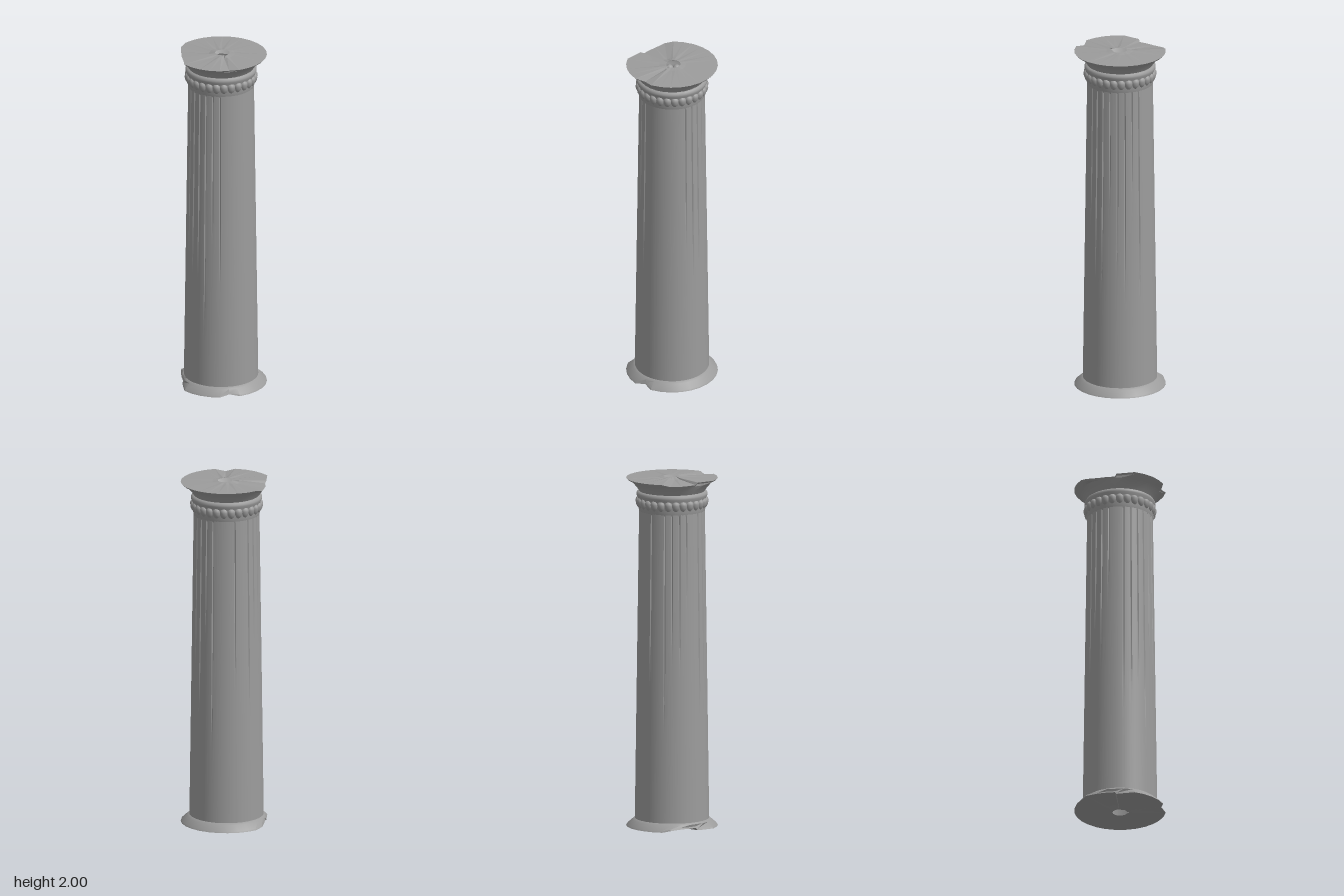
import * as THREE from 'three';
import { toCreasedNormals } from 'three/addons/utils/BufferGeometryUtils.js';

const SIDES = 28;
const material = new THREE.MeshStandardMaterial({ color: 0x9c9c9c, side: THREE.DoubleSide });

// Skin a stack of rings; each ring maps a side index to [radius, y, xOffset, turn in sides]
function skin(name, rings, sides = SIDES, crease = 0.5) {
  const pos = [], idx = [];
  for (const ring of rings) {
    for (let i = 0; i < sides; i++) {
      const [r, y, dx = 0, turn = 0] = ring(i);
      const a = ((i + turn) / sides) * Math.PI * 2;
      pos.push(r * Math.cos(a) + dx, y, r * Math.sin(a));
    }
  }
  for (let j = 0; j < rings.length - 1; j++) {
    for (let i = 0; i < sides; i++) {
      const k = (i + 1) % sides;
      const a = j * sides + i, b = j * sides + k;
      idx.push(a, a + sides, b, b, a + sides, b + sides);
    }
  }
  const geo = new THREE.BufferGeometry();
  geo.setAttribute('position', new THREE.Float32BufferAttribute(pos, 3));
  geo.setIndex(idx);
  const mesh = new THREE.Mesh(toCreasedNormals(geo, crease), material);
  mesh.name = name;
  return mesh;
}

// Fixed pseudo-random value per index
const hash = (n) => {
  const s = Math.sin(n * 12.9898 + 4.1) * 43758.5453;
  return s - Math.floor(s);
};

// Chipped rim: reduced radius on a few sides, with a sunken sector between two cracks
const chips = { 8: 0.233, 14: 0.224, 15: 0.217, 16: 0.222, 17: 0.232 };
const rimTurn = { 14: 0.85, 15: 0.05, 18: 0.15 };
const rimSink = { 8: 0.008, 15: 0.014, 16: 0.014, 17: 0.014, 18: 0.01 };
const rimRadius = (i) => chips[i] ?? 0.258;
const round = (r, y) => () => [r, y];
const chipped = (r, y) => (i) => [Math.min(r, rimRadius(i)), y];
// inward is +1 on the base and -1 on the cap
const rim = (inset, y, inward) => (i) =>
  [rimRadius(i) - inset, y + inward * (rimSink[i] ?? 0), 0, rimTurn[i]];

// Ragged central hole, off centre with one notch, and the uneven spokes around it
const hole = (y) => (i) => [i === 7 ? 0.062 : i === 13 || i === 14 ? 0.037 : 0.041, y, i === 7 ? -0.004 : 0.008];
const spokes = (y, inward) => (i) =>
  [0.075, y + inward * (0.004 * hash(i + 40) + 0.5 * (rimSink[i] ?? 0)), 0.004, rimTurn[i]];

export function createModel() {
  const column = new THREE.Group();
  column.name = 'column';

  // Flared base with chipped lip, and its underside
  column.add(skin('base', [
    rim(0, 0.008, 1),
    rim(0.004, 0.016, 1),
    chipped(0.222, 0.043),
    round(0.212, 0.052),
    round(0.205, 0.054),
  ]));
  column.add(skin('baseUnderside', [
    hole(0),
    spokes(0.001, 1),
    rim(0, 0.008, 1),
  ], SIDES, 0.02));

  // Tapered shaft with hairline flutes of differing lengths; the front is left plain
  const shaftRings = [];
  const steps = 14, perFlute = 8;
  for (let j = 0; j <= steps; j++) {
    const t = j / steps;
    const y = 0.05 + t * 1.76;
    shaftRings.push((i) => {
      const flute = Math.floor(i / perFlute);
      const fluted = i % perFlute === 0 && (flute < 4 || flute > 8) && hash(flute) > 0.25;
      const end = 0.35 + 0.9 * hash(flute + 9);
      const depth = fluted ? 0.005 * THREE.MathUtils.clamp((y - end) / 0.5, 0, 1) : 0;
      return [0.209 - 0.024 * t - depth, y];
    });
  }
  column.add(skin('shaft', shaftRings, SIDES * perFlute, 0.3));

  // Necking under the cap, with a raised moulding above the beads
  column.add(skin('necking', [
    round(0.183, 1.80),
    round(0.190, 1.825),
    round(0.191, 1.87),
    round(0.194, 1.885),
    round(0.200, 1.897),
    round(0.200, 1.907),
    round(0.194, 1.917),
    round(0.184, 1.92),
  ], SIDES * 2, 0.8));

  // Ring of rounded beads, narrowing slightly downwards
  const beads = new THREE.Group();
  beads.name = 'beads';
  const beadGeo = new THREE.SphereGeometry(0.024, 12, 8);
  const p = beadGeo.attributes.position;
  for (let k = 0; k < p.count; k++) {
    const y = p.getY(k);
    if (y < 0) p.setXYZ(k, p.getX(k) * (1 + y * 4), y * 1.6, p.getZ(k));
  }
  beadGeo.computeVertexNormals();
  for (let i = 0; i < SIDES; i++) {
    const a = ((i + 0.5) / SIDES) * Math.PI * 2;
    const bead = new THREE.Mesh(beadGeo, material);
    bead.name = 'bead';
    bead.position.set(0.182 * Math.cos(a), 1.863, 0.182 * Math.sin(a));
    bead.rotation.y = -a;
    beads.add(bead);
  }
  column.add(beads);

  // Flared cap with chipped lip, and its top face
  column.add(skin('cap', [
    round(0.184, 1.918),
    round(0.200, 1.942),
    chipped(0.226, 1.972),
    rim(0.008, 1.984, -1),
    rim(0, 1.993, -1),
  ]));
  column.add(skin('capTop', [
    rim(0, 1.993, -1),
    spokes(1.999, -1),
    hole(2),
  ], SIDES, 0.02));

  return column;
}
